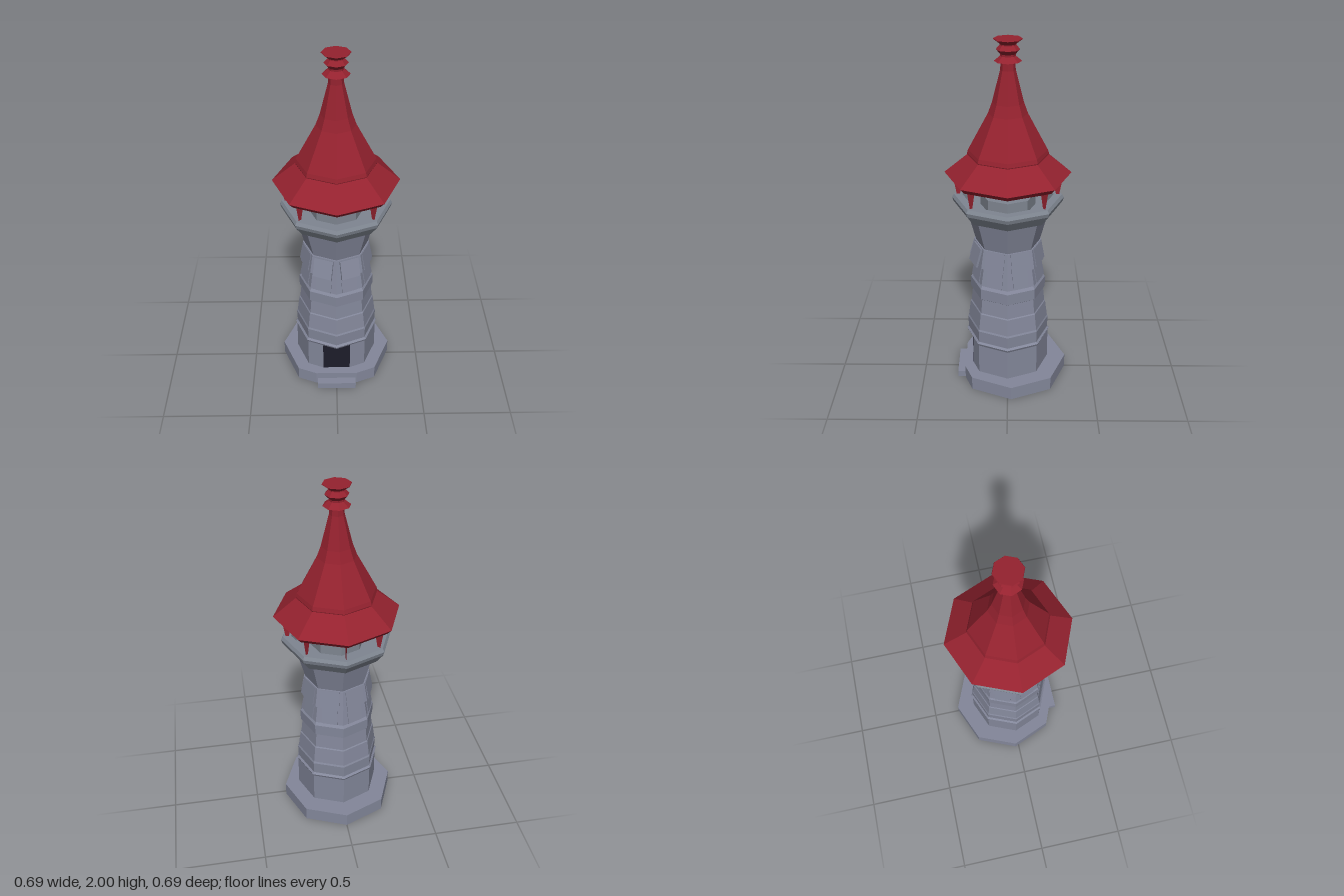
import * as THREE from 'three';

function paint(name, color, side = THREE.FrontSide) {
  const material = new THREE.MeshStandardMaterial({ color, side });
  material.name = name;
  return material;
}
const stone = paint('stone grey', 0x83879a);
const rimStone = paint('parapet grey', 0x7f8691);
const red = paint('roof red', 0x95222f, THREE.DoubleSide);
const dark = paint('doorway dark', 0x1d1c29);

// Faceted copy of a geometry
function facet(geometry) {
  const g = geometry.index ? geometry.toNonIndexed() : geometry;
  g.computeVertexNormals();
  return g;
}

function part(parent, name, geometry, material, x = 0, y = 0, z = 0) {
  const mesh = new THREE.Mesh(facet(geometry), material);
  mesh.name = name;
  mesh.position.set(x, y, z);
  parent.add(mesh);
  return mesh;
}

// Eight-sided turned part with corners on the x and z axes
function octLathe(profile) {
  return new THREE.LatheGeometry(profile.map(([r, y]) => new THREE.Vector2(r, y)), 8);
}

// Octagon plan whose front corner is cut off at x = +-half
function octPlan(radius, half, centreZ = 0) {
  const pts = [];
  for (let i = 1; i < 8; i++) {
    const a = i * Math.PI / 4;
    pts.push(new THREE.Vector2(radius * Math.sin(a), radius * Math.cos(a) + centreZ));
  }
  const z = radius + centreZ - half * Math.tan(Math.PI / 8);
  pts.push(new THREE.Vector2(-half, z), new THREE.Vector2(half, z));
  return pts;
}

// Hollow slab from y0 to y1; the hole runs the other way round so its walls face inwards
function hollowSlab(outer, inner, y0, y1) {
  const shape = new THREE.Shape(outer);
  shape.holes.push(new THREE.Path(inner.reverse()));
  const g = new THREE.ExtrudeGeometry(shape, { depth: y1 - y0, bevelEnabled: false });
  g.rotateX(Math.PI / 2);
  g.translate(0, y1, 0);
  return g;
}

export function createModel() {
  const model = new THREE.Group();
  model.name = 'watchtower';

  // Hollow base and doorstep
  part(model, 'baseWall', hollowSlab(octPlan(0.322, 0.12, -0.021), octPlan(0.3, 0.11, -0.021), 0, 0.07), stone);
  part(model, 'baseTop', hollowSlab(octPlan(0.322, 0.12, -0.021), octPlan(0.21, 0.08), 0.07, 0.08), stone);
  part(model, 'doorstep', new THREE.BoxGeometry(0.226, 0.04, 0.06), stone, 0, 0.02, 0.266);

  // Ground floor with doorway across the front corner
  part(model, 'groundFloorWall', hollowSlab(octPlan(0.236, 0.08), octPlan(0.212, 0.08), 0.001, 0.266), stone);
  part(model, 'doorway', new THREE.BoxGeometry(0.158, 0.18, 0.06), dark, 0, 0.172, 0.175);

  // Tapering courses of the shaft
  part(model, 'shaft', octLathe([
    [0, 0.263], [0.236, 0.263], [0.243, 0.278], [0.232, 0.288],
    [0.235, 0.36], [0.23, 0.37], [0.217, 0.468], [0.212, 0.474], [0.203, 0.56],
    [0.213, 0.567], [0.213, 0.632], [0.2, 0.65], [0.175, 0.655],
  ]), stone);

  // Two skirted tiers
  for (const [name, y0, y1] of [['lowerTier', 0.652, 0.762], ['upperTier', 0.762, 0.872]]) {
    part(model, name, octLathe([[0.17, y0], [0.207, y0], [0.187, y1], [0.15, y1]]), stone);
  }

  // Loose stone plates on the tiers, the front pair tilted furthest
  for (let i = 0; i < 8; i++) {
    const side = new THREE.Group();
    side.name = 'wallPlates' + (i + 1);
    side.rotation.y = (i + 0.5) * Math.PI / 4;
    model.add(side);
    const front = i === 0 || i === 7;
    const upper = part(side, 'upperPlate', new THREE.BoxGeometry(0.11, 0.11, 0.012), stone,
      0, 0.815, front ? 0.193 : 0.18);
    upper.rotation.x = front ? -0.28 : -0.18;
    const lower = part(side, 'lowerPlate', new THREE.BoxGeometry(0.09, 0.11, 0.012), stone, 0, 0.707, 0.18);
    lower.rotation.x = -0.18;
  }

  // Flared neck, then parapet with a sunken lookout floor
  part(model, 'neck', octLathe([[0.178, 0.868], [0.226, 1.05]]), stone);
  part(model, 'parapet', octLathe([
    [0.22, 1.05], [0.258, 1.052], [0.3, 1.11],
    [0.306, 1.132], [0.295, 1.15], [0.25, 1.15], [0.235, 1.09], [0, 1.09],
  ]), rimStone);
  part(model, 'lookoutDrum', octLathe([
    [0.15, 1.085], [0.15, 1.157], [0.12, 1.157], [0.11, 1.1], [0, 1.1],
  ]), rimStone);

  // Radial brackets tapering downwards under the eaves
  const fin = new THREE.Shape([
    new THREE.Vector2(0.235, 1.275), new THREE.Vector2(0.262, 1.15),
    new THREE.Vector2(0.28, 1.15), new THREE.Vector2(0.3, 1.268),
  ]);
  for (let i = 0; i < 8; i++) {
    const bracket = part(model, 'eaveBracket' + (i + 1), new THREE.ShapeGeometry(fin), red);
    bracket.rotation.y = i * Math.PI / 4;
  }

  // Roof shell: hollow underside, eaves, collar and spire
  part(model, 'roof', octLathe([
    [0, 1.8], [0.09, 1.6], [0.195, 1.4], [0.205, 1.365], [0.318, 1.252], [0.343, 1.28],
    [0.217, 1.383], [0.219, 1.388], [0.212, 1.41],
    [0.105, 1.61], [0.083, 1.67], [0.04, 1.84], [0.037, 1.885],
  ]), red);

  // Finial
  part(model, 'finial', octLathe([
    [0.037, 1.88], [0.072, 1.886], [0.04, 1.912], [0.04, 1.922], [0.062, 1.945],
    [0.042, 1.967], [0.042, 1.972], [0.075, 1.996], [0.073, 2.0], [0, 2.0],
  ]), red);

  return model;
}
